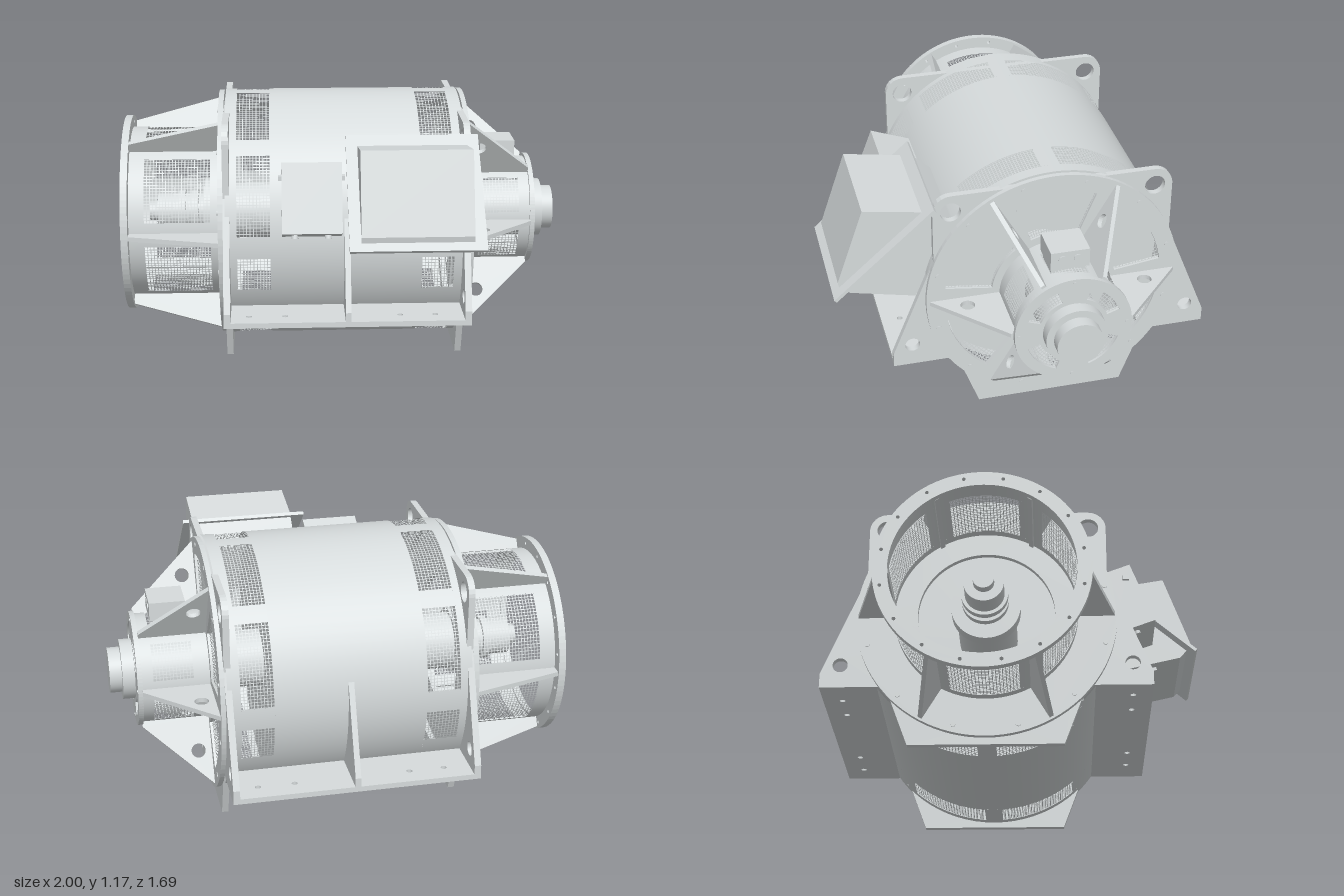
import * as THREE from 'three';
import { mergeGeometries } from 'three/addons/utils/BufferGeometryUtils.js';

// One grey; the second material only differs in showing both faces of thin sheets
const paint = new THREE.MeshStandardMaterial({ color: 0xd6dbdc });
paint.name = 'grey paint';
const sheet = new THREE.MeshStandardMaterial({ color: 0xd6dbdc, side: THREE.DoubleSide });
sheet.name = 'grey sheet';

const PI = Math.PI, rad = d => d * PI / 180;
const CY = 0.6, CZ = -0.126; // shaft axis

function add(parent, name, geo, mat = paint) {
  const m = new THREE.Mesh(geo, mat);
  m.name = name;
  parent.add(m);
  return m;
}
// Shapes drawn in (z, y), extruded along x
function alongX(shape, x0, x1) {
  return new THREE.ExtrudeGeometry(shape, { depth: x1 - x0, bevelEnabled: false, curveSegments: 48 })
    .rotateY(-PI / 2).translate(x1, 0, 0);
}
const poly = pts => new THREE.Shape(pts.map(p => new THREE.Vector2(...p)));
const hole = (x, y, r) => new THREE.Path().absarc(x, y, r, 0, 2 * PI, true);
const disc = r => new THREE.Shape().absarc(0, 0, r, 0, 2 * PI, false);
function sector(ri, ro, a0, a1) {
  const p = new THREE.Path();
  p.absarc(0, 0, ro, a0, a1, false);
  p.absarc(0, 0, ri, a1, a0, true);
  p.closePath();
  return p;
}
const rod = (r, x0, x1, seg = 48) =>
  new THREE.CylinderGeometry(r, r, x1 - x0, seg).rotateZ(PI / 2).translate((x0 + x1) / 2, 0, 0);
// Curved sheet around the axis; angles run from +z towards +y
const patch = (r, x0, x1, a0, a1) =>
  new THREE.CylinderGeometry(r, r, x1 - x0, Math.max(1, Math.ceil((a1 - a0) * 12)), 1, true, a0, a1 - a0)
    .rotateZ(PI / 2).translate((x0 + x1) / 2, 0, 0);

// Cylinder wall with rows of windows cut out of it, each covered by wire mesh
function ventedShell(parent, name, r, x0, x1, rows, windows) {
  const walls = [], wires = [], w = 0.0016, pitch = 0.0145;
  let x = x0;
  for (const [a, b] of rows) {
    walls.push(patch(r, x, a, 0, 2 * PI));
    windows.forEach(([, end], i) => {
      const next = i + 1 < windows.length ? windows[i + 1][0] : windows[0][0] + 2 * PI;
      walls.push(patch(r, a, b, end, next));
    });
    for (const [s, e] of windows) {
      const nx = Math.round((b - a) / pitch), na = Math.round((e - s) * r / pitch);
      for (let i = 0; i <= nx; i++) {
        const p = a + (b - a) * i / nx;
        wires.push(patch(r - 0.004, p - w, p + w, s, e));
      }
      for (let i = 0; i <= na; i++) {
        const p = s + (e - s) * i / na;
        wires.push(patch(r - 0.004, a, b, p - w / r, p + w / r));
      }
    }
    x = b;
  }
  walls.push(patch(r, x, x1, 0, 2 * PI));
  add(parent, name, mergeGeometries(walls), sheet);
  add(parent, name + 'Mesh', mergeGeometries(wires), sheet);
}

// Disc with sector windows covered by wire mesh
function ventedDisc(parent, name, r, x0, x1, ri, ro, windows) {
  const plate = disc(r), wires = [], pitch = 0.015;
  const nr = Math.round((ro - ri) / pitch);
  for (const [a, b] of windows) {
    plate.holes.push(sector(ri, ro, a, b));
    const na = Math.round((b - a) * (ri + ro) / 2 / pitch);
    for (let i = 0; i <= nr; i++) {
      const q = ri + (ro - ri) * i / nr;
      wires.push(new THREE.RingGeometry(q - 0.002, q + 0.002, 10, 1, a, b - a));
    }
    for (let i = 0; i <= na; i++) {
      wires.push(new THREE.PlaneGeometry(ro - ri, 0.004).translate((ri + ro) / 2, 0, 0).rotateZ(a + (b - a) * i / na));
    }
  }
  add(parent, name, alongX(plate, x0, x1));
  add(parent, name + 'Mesh', mergeGeometries(wires).rotateY(-PI / 2).translate((x0 + x1) / 2, 0, 0), sheet);
}

function bolts(parent, name, n, ring, r, x0, x1, offset = 0) {
  const list = [];
  for (let i = 0; i < n; i++) {
    const a = offset + i * 2 * PI / n;
    list.push(rod(r, x0, x1, 8).translate(0, ring * Math.sin(a), ring * Math.cos(a)));
  }
  add(parent, name, mergeGeometries(list));
}

// Six radial ribs from an (x, radius) profile
function ribs(parent, name, pts, holeAt) {
  const s = poly(pts);
  if (holeAt) s.holes.push(hole(...holeAt, 0.032));
  for (let i = 0; i < 6; i++) {
    const g = new THREE.ExtrudeGeometry(s, { depth: 0.02, bevelEnabled: false }).translate(0, 0, -0.01);
    add(parent, name, g.rotateX(PI / 2 - i * PI / 3));
  }
}

export function createModel() {
  const model = new THREE.Group();
  model.name = 'electricMachine';
  const axis = new THREE.Group();
  axis.name = 'rotationAxisParts';
  axis.position.set(0, CY, CZ);
  const frame = new THREE.Group();
  frame.name = 'frame';
  frame.position.z = CZ;
  model.add(axis, frame);

  // Main housing; the windows just above the feet are shorter
  const bodyWindows = [];
  for (let k = 0; k < 8; k++) {
    const c = 22.5 + 45 * k;
    bodyWindows.push((k === 4 ? [186, 202] : k === 7 ? [338, 354] : [c - 18.5, c + 18.5]).map(rad));
  }
  ventedShell(axis, 'housing', 0.575, -0.53, 0.54, [[-0.48, -0.33], [0.34, 0.485]], bodyWindows);
  add(axis, 'statorCore', rod(0.56, -0.3, 0.31, 64));
  add(axis, 'mainShaft', rod(0.13, -0.62, 0.87));

  // Evenly spaced windows, n around the axis
  const around = (n, first, half) =>
    Array.from({ length: n }, (_, k) => [rad(first + 360 / n * k - half), rad(first + 360 / n * k + half)]);

  // Drive end: vented cover, ribs and bearing hub
  ventedDisc(axis, 'driveEndCover', 0.57, 0.548, 0.57, 0.28, 0.49, around(6, 30, 22));
  bolts(axis, 'coverBolts', 12, 0.535, 0.012, 0.565, 0.573, rad(15));
  ribs(axis, 'driveEndRib', [[0.565, 0.24], [0.87, 0.24], [0.87, 0.27], [0.565, 0.56]], [0.63, 0.4]);
  ventedShell(axis, 'bearingHub', 0.245, 0.565, 0.872, [[0.64, 0.82]], around(6, 30, 20));
  ventedDisc(axis, 'hubCap', 0.258, 0.868, 0.89, 0.155, 0.212, around(4, 45, 25));
  bolts(axis, 'hubBolts', 4, 0.238, 0.009, 0.885, 0.893);
  add(axis, 'hubBoss', rod(0.135, 0.88, 0.945));
  add(axis, 'shaftEnd', rod(0.102, 0.94, 1.0));

  // Sensor box on top of the hub
  add(axis, 'sensorBoxStand', new THREE.BoxGeometry(0.12, 0.05, 0.15).translate(0.72, 0.25, 0));
  add(axis, 'sensorBox', new THREE.BoxGeometry(0.16, 0.085, 0.17).translate(0.73, 0.305, 0));
  for (const z of [-0.033, 0.033]) add(axis, 'sensorSocket', rod(0.018, 0.8, 0.814, 16).translate(0, 0.31, z));

  // Open end: back plate, cage, ribs, flange and slip rings
  const back = disc(0.57);
  back.holes.push(hole(0, 0, 0.3));
  add(axis, 'openEndPlate', alongX(back, -0.562, -0.538));
  bolts(axis, 'openEndBolts', 12, 0.535, 0.012, -0.566, -0.56, rad(15));
  ventedShell(axis, 'openEndCage', 0.4, -0.975, -0.555, [[-0.9, -0.6]], around(6, 30, 22));
  ribs(axis, 'openEndRib', [[-0.972, 0.39], [-0.555, 0.39], [-0.555, 0.562], [-0.972, 0.445]]);
  const flange = disc(0.455);
  flange.holes.push(hole(0, 0, 0.392));
  for (let i = 0; i < 16; i++) flange.holes.push(hole(0.428 * Math.cos(rad(11 + 22.5 * i)), 0.428 * Math.sin(rad(11 + 22.5 * i)), 0.008));
  add(axis, 'mountingFlange', alongX(flange, -1, -0.968));
  add(axis, 'slipRingShaft', rod(0.085, -0.86, -0.6));
  add(axis, 'shaftStub', rod(0.045, -0.9, -0.85, 24));
  for (const x of [-0.76, -0.7]) add(axis, 'slipRing', rod(0.1, x, x + 0.03));
  add(axis, 'rotorHub', rod(0.15, -0.64, -0.58));

  // End frames with lifting eyes and feet
  const right = [[0.334, 0], [0.434, 0.27], [0.72, 0.27], [0.72, 0.335], [0.53, 0.805], [0.53, 1.05]];
  for (let i = 1; i <= 6; i++) { // rounded upper corner
    const a = i * PI / 12;
    right.push([0.45 + 0.08 * Math.cos(a), 1.045 + 0.08 * Math.sin(a)]);
  }
  const outline = poly([...right, ...right.map(([u, y]) => [-u, y]).reverse()]);
  // The housing pokes through the top of the frame, so the bore stays inside the outline
  outline.holes.push(hole(0, CY, 0.52));
  for (const s of [-1, 1]) outline.holes.push(hole(s * 0.452, 1.045, 0.045), hole(s * 0.633, 0.375, 0.033));
  add(frame, 'endFrameLeft', alongX(outline, 0.52, 0.549));
  add(frame, 'endFrameRight', alongX(outline, -0.539, -0.51));

  // Foot rails with bolt holes, and middle gussets
  for (const s of [-1, 1]) {
    const rail = poly([[-0.54, 0.42], [0.54, 0.42], [0.54, 0.72], [-0.54, 0.72]]);
    for (const x of [-0.43, -0.27, 0.24, 0.395]) rail.holes.push(hole(x, 0.635, 0.013));
    const g = new THREE.ExtrudeGeometry(rail, { depth: 0.024, bevelEnabled: false });
    g.rotateX(PI / 2).translate(0, 0.294, 0);
    const foot = add(frame, 'footRail', g);
    if (s < 0) foot.rotation.y = PI;
    const gusset = poly([[0.43, 0.285], [0.72, 0.285], [0.72, 0.335], [0.565, 0.72], [0.5, 0.72]].map(([u, y]) => [s * u, y]));
    add(frame, 'footGusset', alongX(gusset, -0.005, 0.02));
  }

  // Large terminal box: body, slanted lid plate and hood
  const large = new THREE.Group();
  large.name = 'largeTerminalBox';
  model.add(large);
  add(large, 'boxBody', alongX(poly([[0.31, 0.97], [0.48, 0.615], [0.765, 0.68], [0.8, 0.72], [0.41, 1.06]]), 0.06, 0.515));
  add(large, 'lidPlate', alongX(poly([[0.392, 1.075], [0.832, 0.685], [0.842, 0.696], [0.402, 1.087]]), 0, 0.578));
  add(large, 'hood', alongX(poly([[0.697, 1.092], [0.43, 1.047], [0.81, 0.715], [0.816, 0.748]]), 0.05, 0.525));
  add(large, 'cableEntry', new THREE.BoxGeometry(0.36, 0.02, 0.07).rotateX(rad(-13)).translate(0.285, 0.64, 0.62));

  // Small terminal box
  const small = new THREE.Group();
  small.name = 'smallTerminalBox';
  model.add(small);
  add(small, 'smallBoxBody', alongX(poly([[0.52, 0.998], [0.34, 0.93], [0.44, 0.64], [0.63, 0.71]]), -0.28, -0.02));
  for (const x of [-0.225, -0.08]) {
    add(small, 'cableGland', new THREE.CylinderGeometry(0.015, 0.015, 0.02, 16).rotateX(rad(-20)).translate(x, 0.674, 0.548));
  }
  for (const x of [-0.287, -0.013]) {
    add(small, 'boxLatch', new THREE.BoxGeometry(0.014, 0.02, 0.03).translate(x, 0.925, 0.5));
  }
  return model;
}
